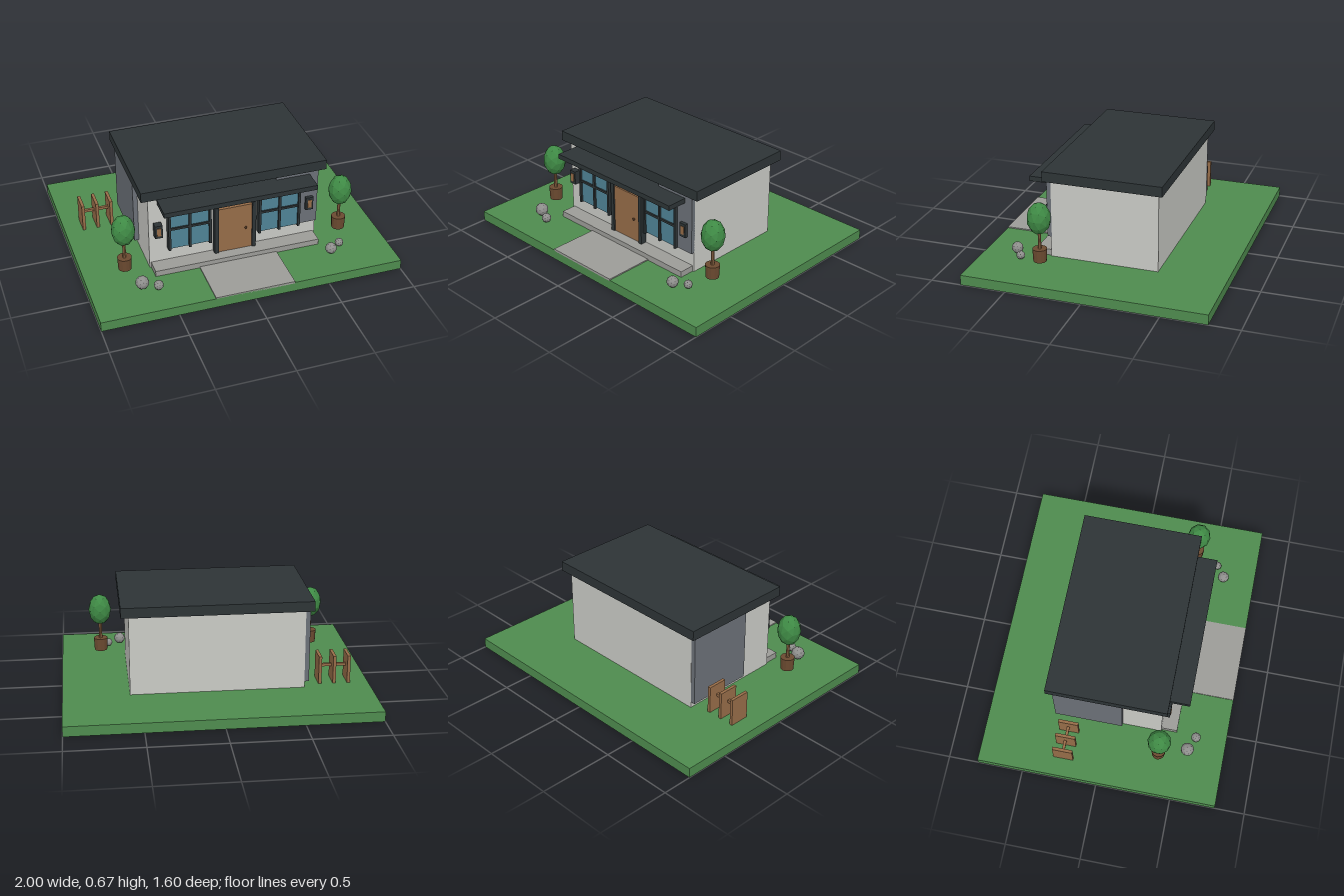
import * as THREE from 'three';

const mat = (name, color) => {
  const m = new THREE.MeshStandardMaterial({ color, flatShading: true });
  m.name = name;
  return m;
};

export function createModel() {
  const model = new THREE.Group();
  model.name = 'house';
  const grass = mat('grass', 0x4e8b4e);
  const charcoal = mat('charcoal', 0x2d3436);
  const plaster = mat('plaster', 0xc9cac5);
  const slate = mat('slate', 0x6b7077);
  const concrete = mat('concrete', 0x9c9c98);
  const wood = mat('wood', 0x966c48);
  const darkWood = mat('dark wood', 0x6b4a30);
  const glass = mat('glass', 0x4f8396);
  const leaf = mat('leaf', 0x3f8a45);
  const stone = mat('stone', 0x8e8e8c);

  const add = (name, geometry, material, x, y, z, parent = model) => {
    const mesh = new THREE.Mesh(geometry, material);
    mesh.name = name;
    mesh.position.set(x, y, z);
    parent.add(mesh);
    return mesh;
  };
  // Box given by its limits along each axis
  const box = (name, material, [x0, x1], [y0, y1], [z0, z1], parent) =>
    add(name, new THREE.BoxGeometry(x1 - x0, y1 - y0, z1 - z0), material,
      (x0 + x1) / 2, (y0 + y1) / 2, (z0 + z1) / 2, parent);
  const group = (name) => {
    const g = new THREE.Group();
    g.name = name;
    model.add(g);
    return g;
  };

  // Lawn, path and step
  box('lawn', grass, [-1, 1], [0, 0.067], [-0.8, 0.8]);
  box('path', concrete, [-0.263, 0.263], [0.06, 0.075], [0.44, 0.8]);
  box('step', concrete, [-0.557, 0.557], [0.06, 0.107], [0.355, 0.465]);

  // Main volume, cladding, roof and awning
  box('walls', plaster, [-0.567, 0.567], [0.06, 0.605], [-0.357, 0.36]);
  box('frontCladding', slate, [0.28, 0.567], [0.205, 0.603], [0.355, 0.383]);
  box('sideCladding', slate, [-0.597, -0.56], [0.107, 0.603], [-0.355, 0.1]);
  box('roof', charcoal, [-0.617, 0.617], [0.6, 0.667], [-0.393, 0.393]);
  box('awning', charcoal, [-0.507, 0.507], [0.545, 0.578], [0.355, 0.522]);

  // Door with side posts and knob
  const door = group('door');
  box('doorLeaf', wood, [-0.115, 0.115], [0.107, 0.438], [0.355, 0.393], door);
  for (const s of [-1, 1]) {
    const x = s * 0.127;
    box('doorPost', charcoal, [x - 0.013, x + 0.013], [0.107, 0.457], [0.355, 0.403], door);
  }
  add('doorKnob', new THREE.IcosahedronGeometry(0.009, 1), darkWood, 0.07, 0.267, 0.402, door);

  // Windows: pane, three uprights and a crossbar
  for (const cx of [-0.305, 0.302]) {
    const win = group('window');
    box('pane', glass, [cx - 0.135, cx + 0.135], [0.207, 0.517], [0.355, 0.391], win);
    for (const dx of [-0.135, 0, 0.135]) {
      const x = cx + dx;
      box('upright', charcoal, [x - 0.008, x + 0.008], [0.2, 0.527], [0.355, 0.404], win);
    }
    box('crossbar', charcoal, [cx - 0.135, cx + 0.135], [0.353, 0.368], [0.36, 0.402], win);
  }

  // Wall lamps
  for (const x of [-0.511, 0.507]) {
    const lamp = group('wallLamp');
    box('lampCase', charcoal, [x - 0.025, x + 0.025], [0.315, 0.408], [0.355, 0.405], lamp);
    box('lampFace', wood, [x - 0.013, x + 0.013], [0.333, 0.39], [0.402, 0.409], lamp);
  }

  // Potted trees
  for (const s of [-1, 1]) {
    const tree = group('pottedTree');
    tree.position.set(s * 0.733, 0, 0.37);
    add('pot', new THREE.CylinderGeometry(0.047, 0.043, 0.086, 12), darkWood, 0, 0.154, 0, tree);
    add('trunk', new THREE.CylinderGeometry(0.01, 0.012, 0.17, 8), wood, 0, 0.26, 0, tree);
    add('crown', new THREE.IcosahedronGeometry(0.077, 1), leaf, 0, 0.403, 0, tree).scale.y = 1.4;
  }

  // Boulders: x, y, z, radius
  for (const [x, y, z, r] of [
    [-0.67, 0.115, 0.555, 0.044], [-0.575, 0.103, 0.597, 0.032],
    [0.597, 0.108, 0.583, 0.038], [0.677, 0.099, 0.528, 0.028],
  ]) add('boulder', new THREE.IcosahedronGeometry(r, 1), stone, x, y, z);

  // Rack of three boards joined by a rail
  const rack = group('rack');
  for (const x of [-0.87, -0.775, -0.68]) {
    box('rackBoard', wood, [x - 0.01, x + 0.01], [0.06, 0.254], [-0.31, -0.177], rack);
  }
  box('rackRail', wood, [-0.88, -0.67], [0.165, 0.183], [-0.253, -0.235], rack);

  return model;
}
